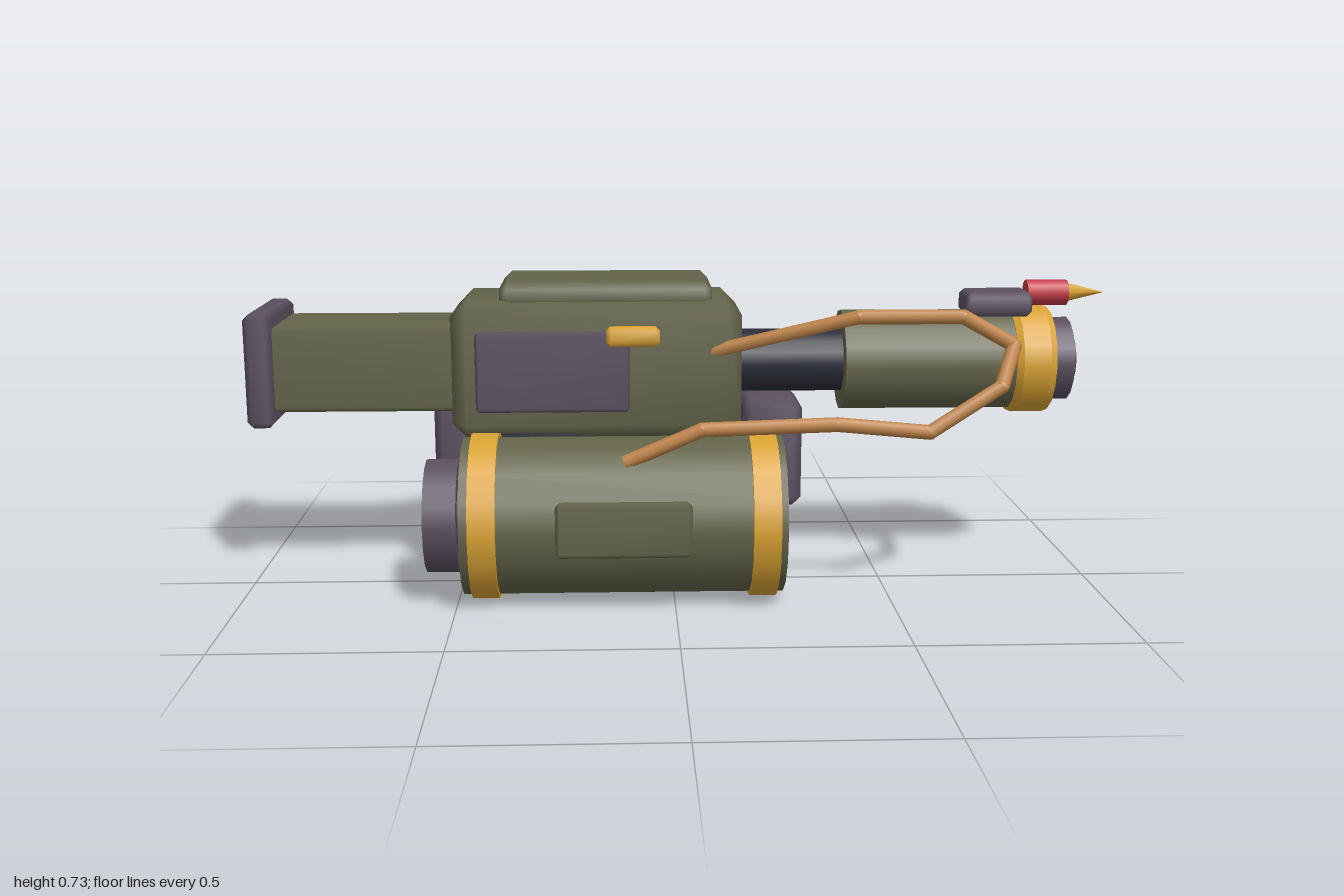
import * as THREE from 'three';
import { mergeVertices } from 'three/addons/utils/BufferGeometryUtils.js';
import { ConvexGeometry } from 'three/addons/geometries/ConvexGeometry.js';

const paint = (name, color) => {
  const m = new THREE.MeshStandardMaterial({ color });
  m.name = name;
  return m;
};

export function createModel() {
  const green = paint('olive green', 0x63644a);
  const purple = paint('purple grey', 0x5a5060);
  const gold = paint('gold', 0xd9a233);
  const tan = paint('hose tan', 0xbf8449);
  const dark = paint('dark steel', 0x2a2d36);
  const red = paint('red', 0xc23a45);
  const model = new THREE.Group();

  const add = (name, geometry, material, parent = model) => {
    const mesh = new THREE.Mesh(geometry, material);
    mesh.name = name;
    parent.add(mesh);
    return mesh;
  };

  // Box with chamfered edges, given by its limits on each axis
  const box = (name, material, [x0, x1], [y0, y1], [z0, z1], c) => {
    const h = [(x1 - x0) / 2, (y1 - y0) / 2, (z1 - z0) / 2];
    const points = [];
    for (const sx of [-1, 1]) for (const sy of [-1, 1]) for (const sz of [-1, 1])
      for (let full = 0; full < 3; full++) {
        const d = h.map((v, i) => (i === full ? v : v - c));
        points.push(new THREE.Vector3(sx * d[0], sy * d[1], sz * d[2]));
      }
    let geometry = new ConvexGeometry(points);
    geometry.deleteAttribute('normal');
    geometry = mergeVertices(geometry, 1e-5);
    geometry.computeVertexNormals();
    add(name, geometry, material).position.set((x0 + x1) / 2, (y0 + y1) / 2, (z0 + z1) / 2);
  };

  // Round part lying along x; r1 is the radius at its +x end
  const round = (name, material, x0, x1, [y, z], r0, r1 = r0, sides = 16) => {
    const geometry = new THREE.CylinderGeometry(r1, r0, x1 - x0, sides).rotateZ(-Math.PI / 2);
    add(name, geometry, material).position.set((x0 + x1) / 2, y, z);
  };

  // Receiver and stock
  box('body', green, [-0.52, 0.165], [0.35, 0.677], [-0.305, 0.02], 0.036);
  box('topPlate', green, [-0.405, 0.095], [0.65, 0.722], [-0.27, -0.014], 0.018);
  box('stock', green, [-0.95, -0.48], [0.415, 0.615], [-0.29, -0.015], 0.012);
  box('buttPlate', purple, [-1, -0.935], [0.38, 0.65], [-0.305, 0.005], 0.014);
  box('sidePanel', purple, [-0.46, -0.1], [0.422, 0.61], [0, 0.043], 0.008);
  box('panelLatch', gold, [-0.155, -0.03], [0.578, 0.624], [0.02, 0.056], 0.01);

  // Grips
  box('frontGrip', purple, [0.17, 0.315], [0.17, 0.43], [-0.244, -0.038], 0.02);
  box('rearGrip', purple, [-0.567, -0.42], [0.16, 0.43], [-0.244, -0.038], 0.02);

  // Barrel and nozzle
  const barrel = [0.514, -0.142];
  round('barrelCore', dark, 0.1, 0.45, barrel, 0.077);
  round('barrelSleeve', green, 0.415, 0.84, barrel, 0.122);
  round('nozzleRingRear', gold, 0.825, 0.84, barrel, 0.125, 0.133);
  round('nozzleRing', gold, 0.84, 0.905, barrel, 0.133);
  round('nozzleRingFront', gold, 0.905, 0.92, barrel, 0.133, 0.127);
  round('nozzle', purple, 0.91, 0.97, barrel, 0.102);
  round('bore', dark, 0.96, 0.982, barrel, 0.067);

  // Fuel tank
  const tank = [0.196, 0.109];
  round('tank', green, -0.485, 0.25, tank, 0.183);
  for (const x of [-0.434, 0.203])
    round('tankBand', gold, x - 0.031, x + 0.031, tank, 0.193);
  round('tankRearCap', purple, -0.57, -0.495, tank, 0.132);
  round('tankCapNeck', dark, -0.5, -0.48, tank, 0.1);
  box('tankPlate', green, [-0.27, 0.035], [0.143, 0.267], [0.25, 0.305], 0.01);
  box('tankBracket', dark, [-0.42, -0.22], [0.28, 0.38], [-0.07, 0], 0.01);

  // Igniter
  const igniter = [0.7, 0.04];
  box('igniterMount', purple, [0.675, 0.83], [0.648, 0.705], [-0.02, 0.082], 0.012);
  round('igniterBody', red, 0.82, 0.915, igniter, 0.03, 0.03, 10);
  round('igniterTip', gold, 0.91, 1, igniter, 0.023, 0.001, 8);

  // Hose from the body around to the tank, straight runs with round joints
  const hose = new THREE.Group();
  hose.name = 'hose';
  model.add(hose);
  const path = [
    [0.095, 0.56, 0.005], [0.425, 0.652, 0.098], [0.665, 0.652, 0.098], [0.785, 0.585, 0.1],
    [0.74, 0.505, 0.185], [0.575, 0.405, 0.208], [0.365, 0.425, 0.21], [0.06, 0.415, 0.21],
    [-0.115, 0.34, 0.21],
  ].map((p) => new THREE.Vector3(...p));
  const up = new THREE.Vector3(0, 1, 0);
  path.forEach((p, i) => {
    if (i === 0) return;
    const run = p.clone().sub(path[i - 1]);
    const mesh = add('hoseRun', new THREE.CylinderGeometry(0.017, 0.017, run.length(), 8), tan, hose);
    mesh.position.copy(p).addScaledVector(run, -0.5);
    mesh.quaternion.setFromUnitVectors(up, run.normalize());
    if (i < path.length - 1)
      add('hoseJoint', new THREE.SphereGeometry(0.0172, 8, 6), tan, hose).position.copy(p);
  });

  return model;
}
